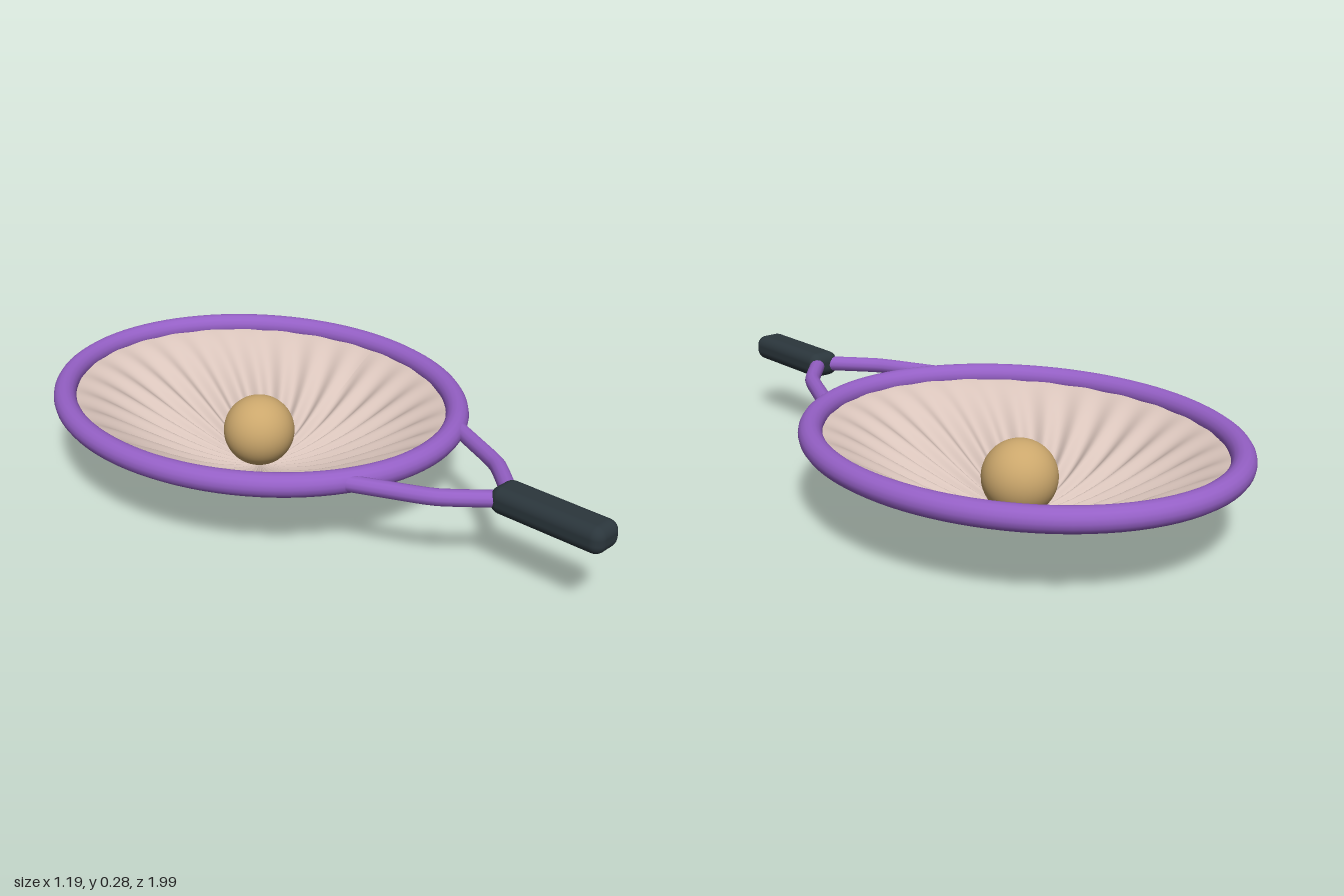
import * as THREE from 'three';
import { RoundedBoxGeometry } from 'three/addons/geometries/RoundedBoxGeometry.js';

const RX = 0.56, RZ = 0.657, CZ = -0.307, RIM_Y = 0.245;

// Closed ellipse that the rim tube follows
class RimCurve extends THREE.Curve {
  getPoint(t, target = new THREE.Vector3()) {
    const a = t * Math.PI * 2;
    return target.set(Math.cos(a) * RX, RIM_Y, CZ + Math.sin(a) * RZ);
  }
}

// Dish made of rings, with swirling folds that fade at the centre and rim
function dishGeometry(rings, segments) {
  const positions = [], index = [];
  for (let i = 0; i <= rings; i++) {
    const r = i / rings;
    const sag = 0.24 * Math.pow(1 - r * r, 1.6);
    const fold = 0.012 * Math.pow(Math.sin(Math.PI * r), 1.2);
    for (let j = 0; j <= segments; j++) {
      const a = (j / segments) * Math.PI * 2;
      const y = RIM_Y - sag + fold * Math.sin(28 * a + 6 * r);
      positions.push(Math.cos(a) * RX * r, Math.max(y, 0), CZ + Math.sin(a) * RZ * r);
      if (i < rings && j < segments) {
        const p = i * (segments + 1) + j, q = p + segments + 1;
        if (i > 0) index.push(p, p + 1, q);
        index.push(q, p + 1, q + 1);
      }
    }
  }
  const g = new THREE.BufferGeometry();
  g.setAttribute('position', new THREE.Float32BufferAttribute(positions, 3));
  g.setIndex(index);
  g.computeVertexNormals();
  return g;
}

export function createModel() {
  const group = new THREE.Group();
  const material = (name, color) => {
    const m = new THREE.MeshStandardMaterial({ color });
    m.name = name;
    return m;
  };
  const purple = material('purple frame', 0x9560c6);
  const grip = material('dark grip', 0x2b363c);
  const cloth = material('pale pink cloth', 0xd9c4bb);
  cloth.side = THREE.DoubleSide;
  const tan = material('tan ball', 0xcba76c);

  const add = (name, geometry, mat) => {
    const mesh = new THREE.Mesh(geometry, mat);
    mesh.name = name;
    group.add(mesh);
    return mesh;
  };

  // Oval rim
  add('rim', new THREE.TubeGeometry(new RimCurve(), 96, 0.035, 16, true), purple);

  // Sagging pleated cloth
  add('pouch', dishGeometry(32, 280), cloth);

  // Ball resting in the pouch
  add('ball', new THREE.SphereGeometry(0.112, 40, 28), tan).position.set(0, 0.122, CZ);

  // Two bent throat arms
  for (const side of [1, -1]) {
    const points = [[0.25, 0.28], [0.195, 0.4], [0.132, 0.53], [0.02, 0.66]]
      .map(([x, z]) => new THREE.Vector3(side * x, RIM_Y, z));
    const curve = new THREE.CatmullRomCurve3(points, false, 'catmullrom', 0.3);
    add(side > 0 ? 'leftThroat' : 'rightThroat',
      new THREE.TubeGeometry(curve, 16, 0.024, 12), purple);
  }

  // Rounded handle
  add('handle', new RoundedBoxGeometry(0.106, 0.08, 0.36, 5, 0.032), grip)
    .position.set(0, RIM_Y, 0.815);

  return group;
}
